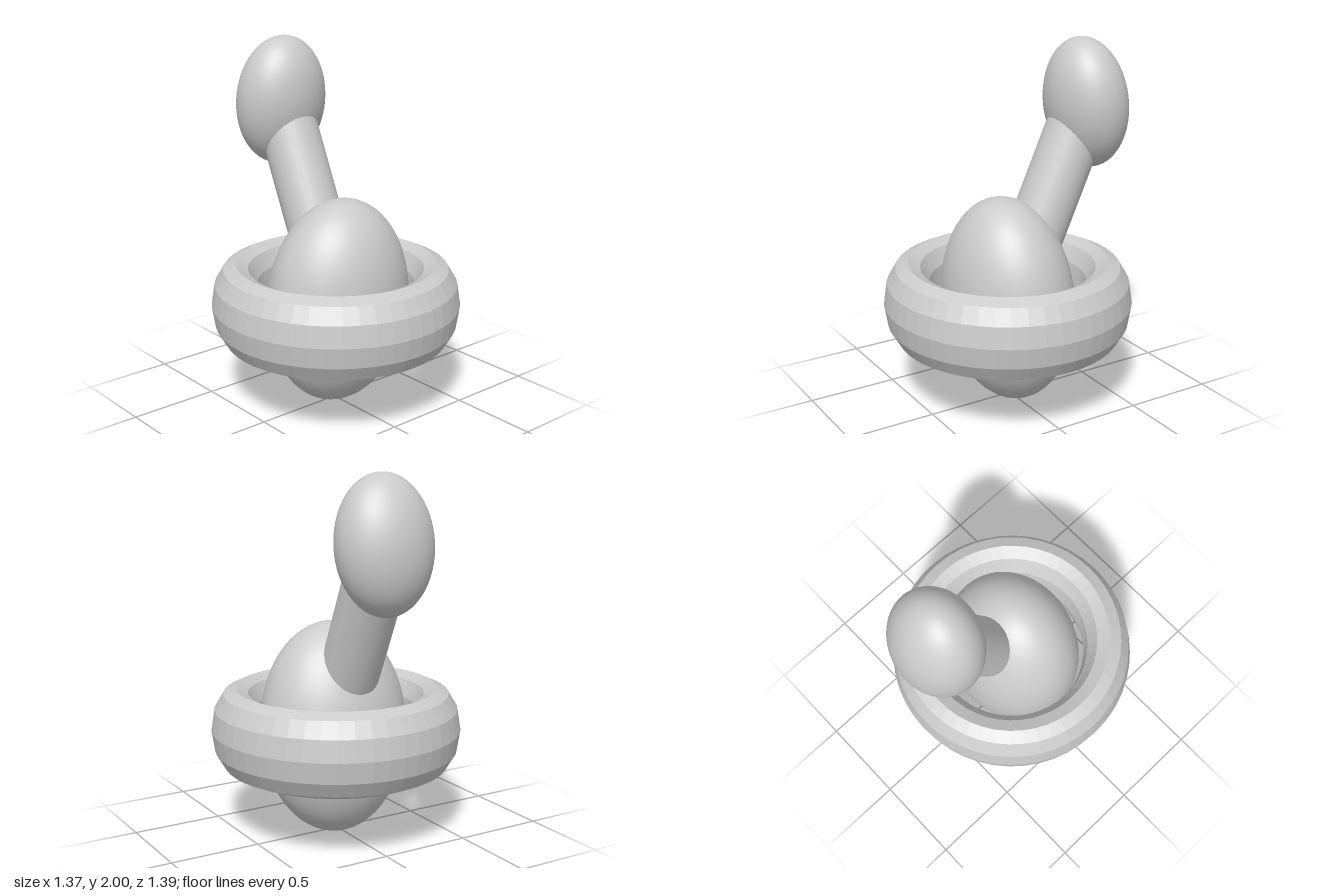
import * as THREE from 'three';

const grey = new THREE.MeshStandardMaterial({ color: 0xcccccc });
const faceted = new THREE.MeshStandardMaterial({ color: 0xcccccc, flatShading: true });

function addPart(group, name, geometry, material = grey) {
  const mesh = new THREE.Mesh(geometry, material);
  mesh.name = name;
  group.add(mesh);
}

// Smooth ellipsoid whose top leans forward by `tilt`
function ellipsoid(radii, tilt, centre) {
  return new THREE.SphereGeometry(1, 48, 32).scale(...radii).rotateX(tilt).translate(...centre);
}

// Straight cylinder between two points
function rod(start, end, radius) {
  const axis = end.clone().sub(start);
  const turn = new THREE.Quaternion().setFromUnitVectors(
    new THREE.Vector3(0, 1, 0), axis.clone().normalize());
  const middle = start.clone().add(end).multiplyScalar(0.5);
  return new THREE.CylinderGeometry(radius, radius, axis.length(), 32)
    .applyQuaternion(turn).translate(middle.x, middle.y, middle.z);
}

export function createModel() {
  const model = new THREE.Group();

  // Egg-shaped body and head, both leaning slightly forward
  addPart(model, 'body', ellipsoid([0.42, 0.587, 0.348], 0.08, [0.01, 0.59, 0.02]));
  addPart(model, 'head', ellipsoid([0.265, 0.362, 0.217], 0.12, [0.014, 1.64, -0.476]));

  // Neck slanting backwards, its ends buried in the body and head
  addPart(model, 'neck', rod(
    new THREE.Vector3(0.012, 0.71, -0.05), new THREE.Vector3(0.012, 1.57, -0.441), 0.162));

  // Faceted float ring, stretched in height
  const ring = new THREE.TorusGeometry(0.548, 0.135, 12, 48)
    .rotateX(Math.PI / 2).scale(1, 1.704, 1).translate(0, 0.59, 0.013);
  addPart(model, 'floatRing', ring, faceted);

  return model;
}
